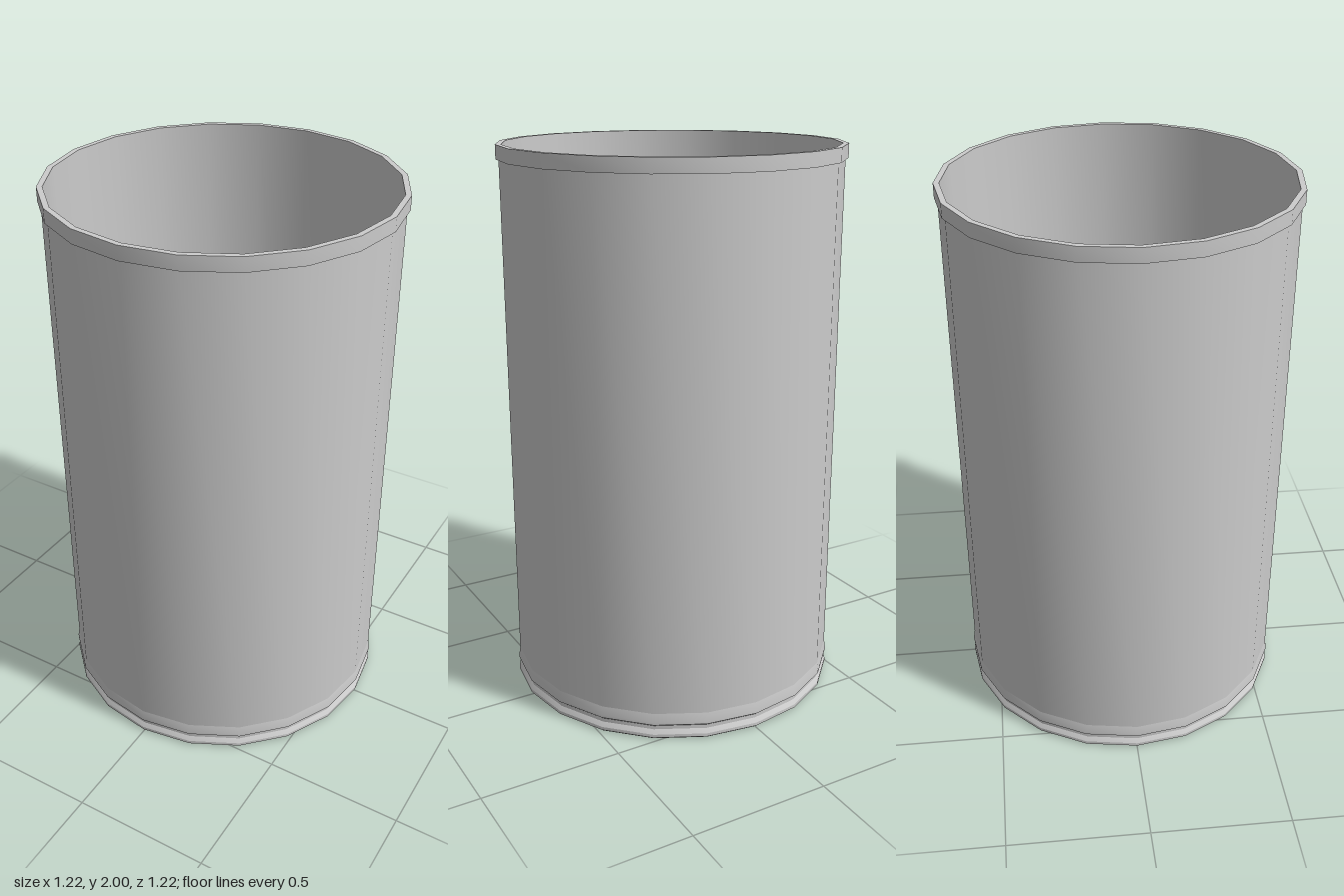
import * as THREE from 'three';
import { toCreasedNormals } from 'three/addons/utils/BufferGeometryUtils.js';

const SIDES = 20;
const material = new THREE.MeshStandardMaterial({ color: 0xcccccc, side: THREE.DoubleSide });

// Turns a profile of [radius, height] points, smooth around and sharp at the steps
function turned(name, profile) {
  const points = profile.map(([r, y]) => new THREE.Vector2(r, y));
  const geometry = toCreasedNormals(new THREE.LatheGeometry(points, SIDES), 0.5);
  const mesh = new THREE.Mesh(geometry, material);
  mesh.name = name;
  return mesh;
}

export function createModel() {
  const group = new THREE.Group();
  group.name = 'openCan';

  // Closed foot with a rolled edge and a shallow groove above it
  group.add(turned('base', [
    [0, 0], [0.595, 0], [0.605, 0.008], [0.605, 0.02], [0.595, 0.036],
    [0.595, 0.05], [0.605, 0.058], [0.605, 0.068], [0.6, 0.1],
  ]));

  // Straight outer wall
  group.add(turned('outerWall', [[0.6, 0.1], [0.6, 1.95]]));

  // Raised band around the mouth
  group.add(turned('rim', [[0.6, 1.95], [0.61, 1.95], [0.61, 2], [0.59, 2]]));

  // Inner wall running down to the floor
  group.add(turned('innerWall', [[0.59, 2], [0.59, 0.04], [0, 0.04]]));

  return group;
}
